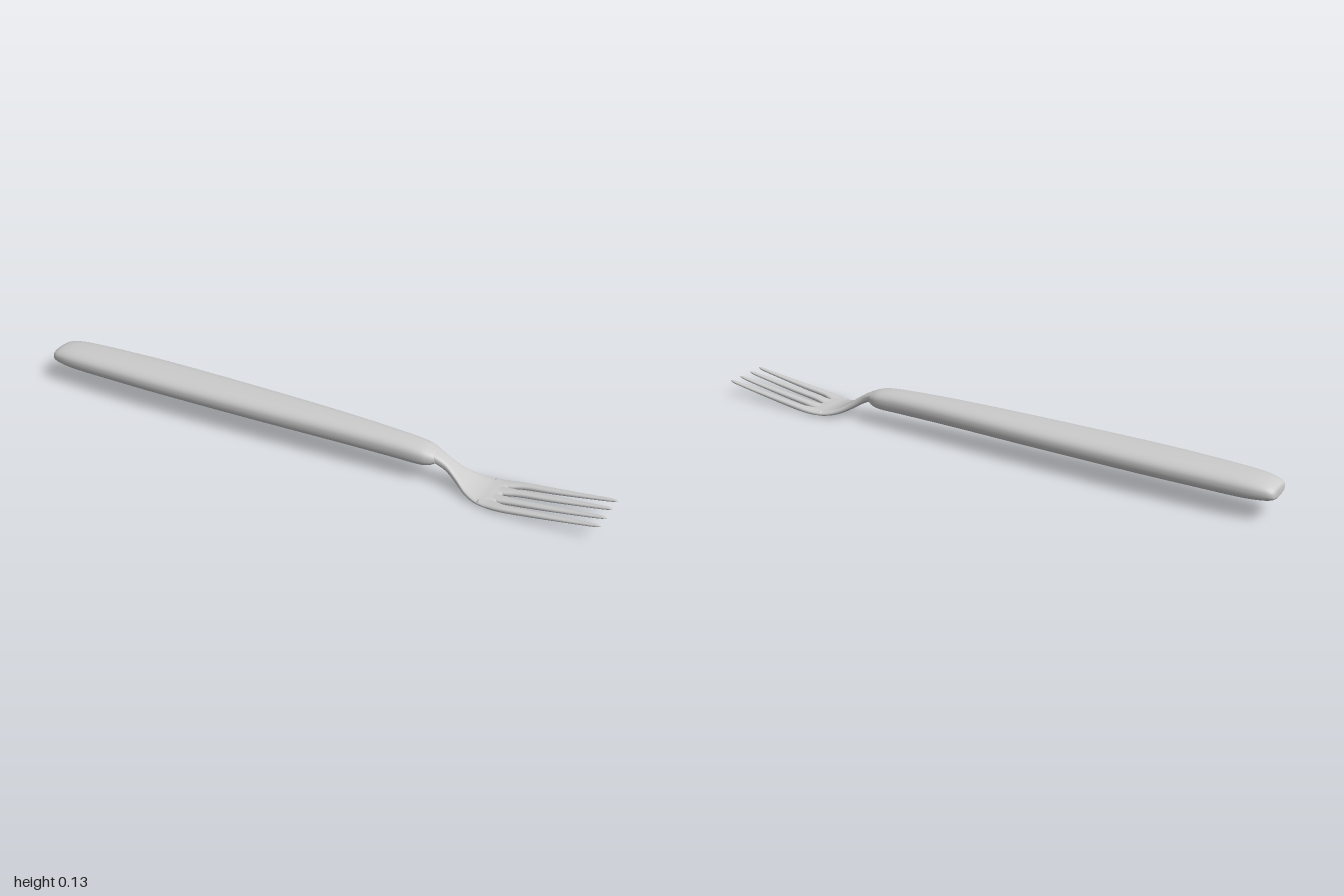
import * as THREE from 'three';

const material = new THREE.MeshStandardMaterial({ color: 0xcccccc });

// Smooth loft along x. Stations: [x, centre y, centre z, half height, half width].
function loft(name, stations, power, steps = 6, sides = 32) {
  const spline = (f) => new THREE.CatmullRomCurve3(stations.map(f), false, 'catmullrom', 0.5);
  const path = spline((s) => new THREE.Vector3(s[0], s[1], s[2]));
  const size = spline((s) => new THREE.Vector3(s[0], s[3], s[4]));
  const rings = (stations.length - 1) * steps;
  const round = (v) => Math.sign(v) * Math.abs(v) ** (2 / power);
  const pos = [], index = [];
  for (let i = 0; i <= rings; i++) {
    const c = path.getPoint(i / rings), h = size.getPoint(i / rings);
    for (let j = 0; j < sides; j++) {
      const a = (j / sides) * Math.PI * 2;
      pos.push(c.x, c.y + h.y * round(Math.cos(a)), c.z + h.z * round(Math.sin(a)));
    }
  }
  for (let i = 0; i < rings; i++) {
    for (let j = 0; j < sides; j++) {
      const k = (j + 1) % sides;
      const a = i * sides + j, b = i * sides + k;
      index.push(a, b, a + sides, b, b + sides, a + sides);
    }
  }
  // End caps
  const first = stations[0], last = stations[stations.length - 1];
  const n = pos.length / 3;
  pos.push(first[0], first[1], first[2], last[0], last[1], last[2]);
  for (let j = 0; j < sides; j++) {
    const k = (j + 1) % sides;
    index.push(n, k, j, n + 1, rings * sides + j, rings * sides + k);
  }
  const geo = new THREE.BufferGeometry();
  geo.setAttribute('position', new THREE.Float32BufferAttribute(pos, 3));
  geo.setIndex(index);
  geo.computeVertexNormals();
  const mesh = new THREE.Mesh(geo, material);
  mesh.name = name;
  return mesh;
}

export function createModel() {
  const group = new THREE.Group();
  group.name = 'fork';

  // Thick handle, fullest toward its far end
  group.add(loft('handle', [
    [-1, 0.091, 0, 0.012, 0.036],
    [-0.993, 0.092, 0, 0.021, 0.05],
    [-0.965, 0.094, 0, 0.03, 0.06],
    [-0.9, 0.095, 0, 0.036, 0.068],
    [-0.75, 0.097, 0, 0.038, 0.074],
    [-0.55, 0.098, 0, 0.039, 0.077],
    [-0.2, 0.098, 0, 0.039, 0.071],
    [0.1, 0.097, 0, 0.038, 0.06],
    [0.3, 0.093, 0, 0.036, 0.051],
    [0.39, 0.089, 0, 0.033, 0.047],
    [0.425, 0.087, 0, 0.026, 0.04],
    [0.445, 0.088, 0, 0.016, 0.03],
  ], 2.5, 6, 40));

  // Slim neck dropping into the flared palm
  group.add(loft('neckAndPalm', [
    [0.41, 0.094, 0, 0.016, 0.034],
    [0.44, 0.09, 0, 0.016, 0.03],
    [0.48, 0.071, 0, 0.015, 0.027],
    [0.52, 0.045, 0, 0.014, 0.039],
    [0.56, 0.023, 0, 0.012, 0.06],
    [0.6, 0.013, 0, 0.01, 0.076],
    [0.635, 0.012, 0, 0.009, 0.083],
    [0.655, 0.013, 0, 0.007, 0.083],
    [0.662, 0.014, 0, 0.002, 0.081],
  ], 3));

  // Four tapering tines, wide at the root so the slots end in rounded webs
  for (const side of [-1, 1]) {
    for (const [name, root, mid, tip] of [['innerTine', 0.022, 0.027, 0.027], ['outerTine', 0.062, 0.074, 0.076]]) {
      group.add(loft(name, [
        [0.61, 0.0125, side * root, 0.007, 0.016],
        [0.64, 0.012, side * root, 0.0085, 0.021],
        [0.67, 0.0145, side * (root + mid) / 2, 0.009, 0.019],
        [0.71, 0.019, side * mid, 0.009, 0.0145],
        [0.8, 0.03, side * mid, 0.008, 0.013],
        [0.9, 0.043, side * (mid + tip) / 2, 0.006, 0.01],
        [0.98, 0.054, side * tip, 0.0045, 0.0065],
        [1, 0.057, side * tip, 0.001, 0.002],
      ], 2.4, 5, 20));
    }
  }
  return group;
}
